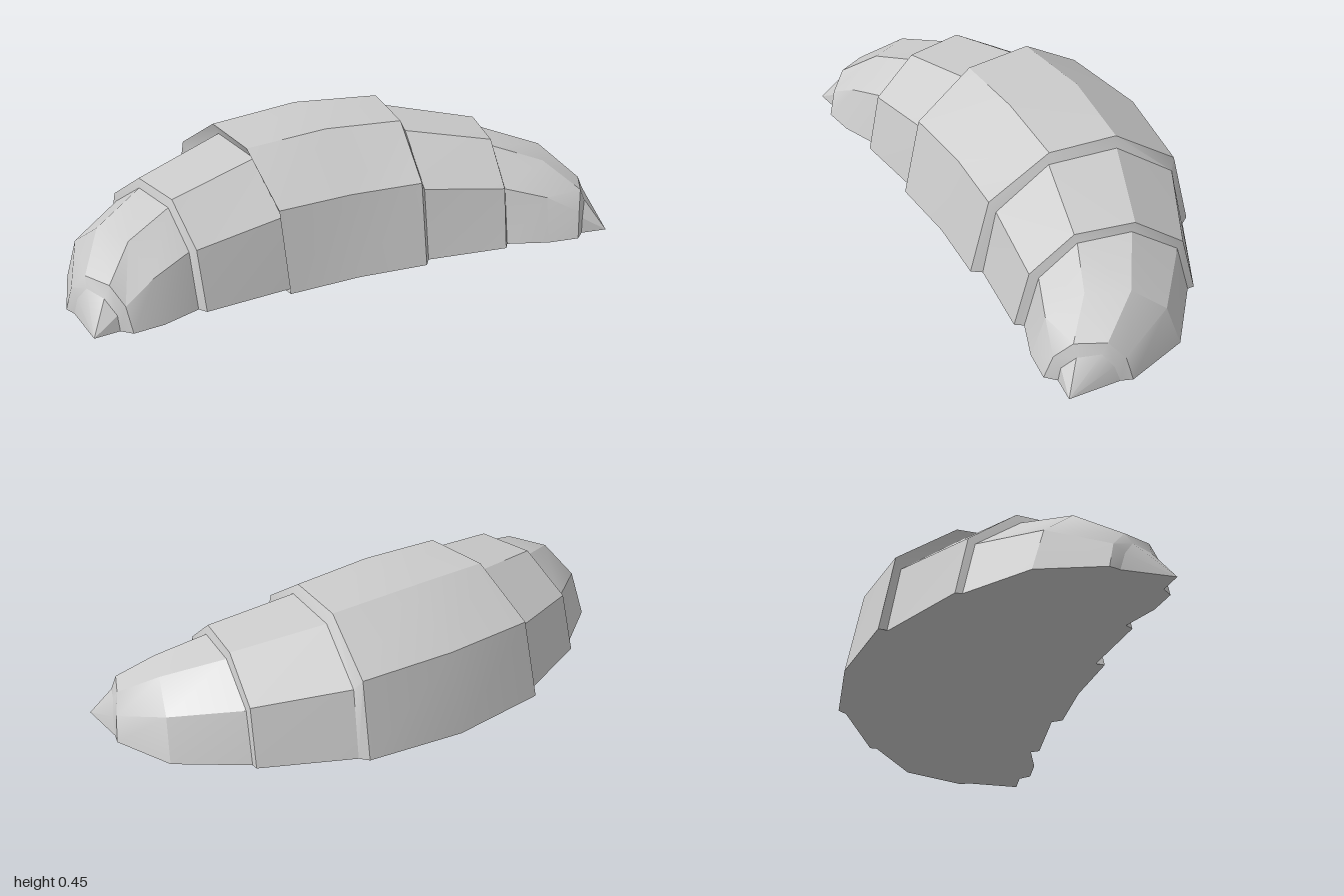
import * as THREE from 'three';
import { toCreasedNormals } from 'three/addons/utils/BufferGeometryUtils.js';

// Cross-sections [x, y, z]: back foot, back shoulder, back top, front top, front shoulder, front foot
const centre = [[0, 0, -0.455], [0, 0.295, -0.392], [0, 0.45, -0.155], [0, 0.45, 0.115], [0, 0.285, 0.325], [0, 0, 0.398]];
const middleEnd = [[0.365, 0, -0.41], [0.352, 0.28, -0.352], [0.32, 0.432, -0.13], [0.295, 0.432, 0.12], [0.27, 0.285, 0.342], [0.26, 0, 0.413]];
const shoulderStart = [[0.385, 0, -0.378], [0.37, 0.245, -0.33], [0.335, 0.395, -0.122], [0.305, 0.395, 0.13], [0.285, 0.25, 0.325], [0.28, 0, 0.378]];
const shoulderEnd = [[0.7, 0, -0.225], [0.688, 0.21, -0.178], [0.655, 0.335, -0.005], [0.613, 0.335, 0.205], [0.588, 0.21, 0.362], [0.575, 0, 0.413]];
const armStart = [[0.7, 0, -0.2], [0.69, 0.19, -0.155], [0.66, 0.305, 0.01], [0.625, 0.305, 0.2], [0.605, 0.195, 0.335], [0.595, 0, 0.385]];
const armBend = [[0.922, 0, -0.03], [0.902, 0.155, 0.017], [0.858, 0.245, 0.13], [0.795, 0.245, 0.27], [0.75, 0.155, 0.39], [0.735, 0, 0.437]];
const armEnd = [[1, 0, 0.2], [0.985, 0.09, 0.22], [0.95, 0.15, 0.27], [0.9, 0.15, 0.37], [0.865, 0.09, 0.425], [0.85, 0, 0.452]];
const tipStart = [[0.985, 0, 0.24], [0.978, 0.065, 0.26], [0.955, 0.115, 0.295], [0.92, 0.105, 0.37], [0.89, 0.055, 0.41], [0.885, 0, 0.418]];
const tipPoint = Array(6).fill([0.98, 0, 0.43]);

const shift = (ring, dx) => ring.map(([x, y, z]) => [x + dx, y, z]);
const mirror = (ring) => ring.map(([x, y, z]) => [-x, y, z]);

const material = new THREE.MeshStandardMaterial({ color: 0xcccccc, side: THREE.DoubleSide });

// Skins consecutive cross-sections (ordered towards +x), including the flat underside
function skin(name, rings) {
  const pos = [];
  const v = (p) => new THREE.Vector3(...p);
  const tri = (a, b, c) => {
    if (new THREE.Triangle(v(a), v(b), v(c)).getArea() > 1e-7) pos.push(...a, ...b, ...c);
  };
  for (let i = 0; i < rings.length - 1; i++) {
    for (let j = 0; j < 6; j++) {
      const k = (j + 1) % 6;
      const [a, b, c, d] = [rings[i][j], rings[i][k], rings[i + 1][k], rings[i + 1][j]];
      tri(a, b, d);
      tri(b, c, d);
    }
  }
  const geometry = new THREE.BufferGeometry();
  geometry.setAttribute('position', new THREE.Float32BufferAttribute(pos, 3));
  const mesh = new THREE.Mesh(toCreasedNormals(geometry, 0.5), material);
  mesh.name = name;
  return mesh;
}

export function createModel() {
  const group = new THREE.Group();
  group.name = 'crescentRoll';

  // Widest layer in the middle, its two ends leaning slightly to the right
  const rightEnd = shift(middleEnd, -0.005);
  const leftEnd = shift(mirror(middleEnd), -0.008);
  const leftStart = shift(mirror(shoulderStart), 0.025);
  group.add(skin('middleLayer', [leftStart, leftEnd, centre, rightEnd, shoulderStart]));

  // Stepped layers and pointed tip on each side
  for (const side of ['left', 'right']) {
    const isLeft = side === 'left'; // the model's left is +x
    const arrange = (rings) => (isLeft ? rings : rings.map(mirror).reverse());
    const shoulder = isLeft
      ? [shoulderStart, shoulderEnd, armStart]
      : [mirror(armStart), mirror(shoulderEnd), leftStart];
    group.add(
      skin(side + 'ShoulderLayer', shoulder),
      skin(side + 'OuterLayer', arrange([armStart, armBend, armEnd, tipStart])),
      skin(side + 'Tip', arrange([tipStart, tipPoint])),
    );
  }
  return group;
}
